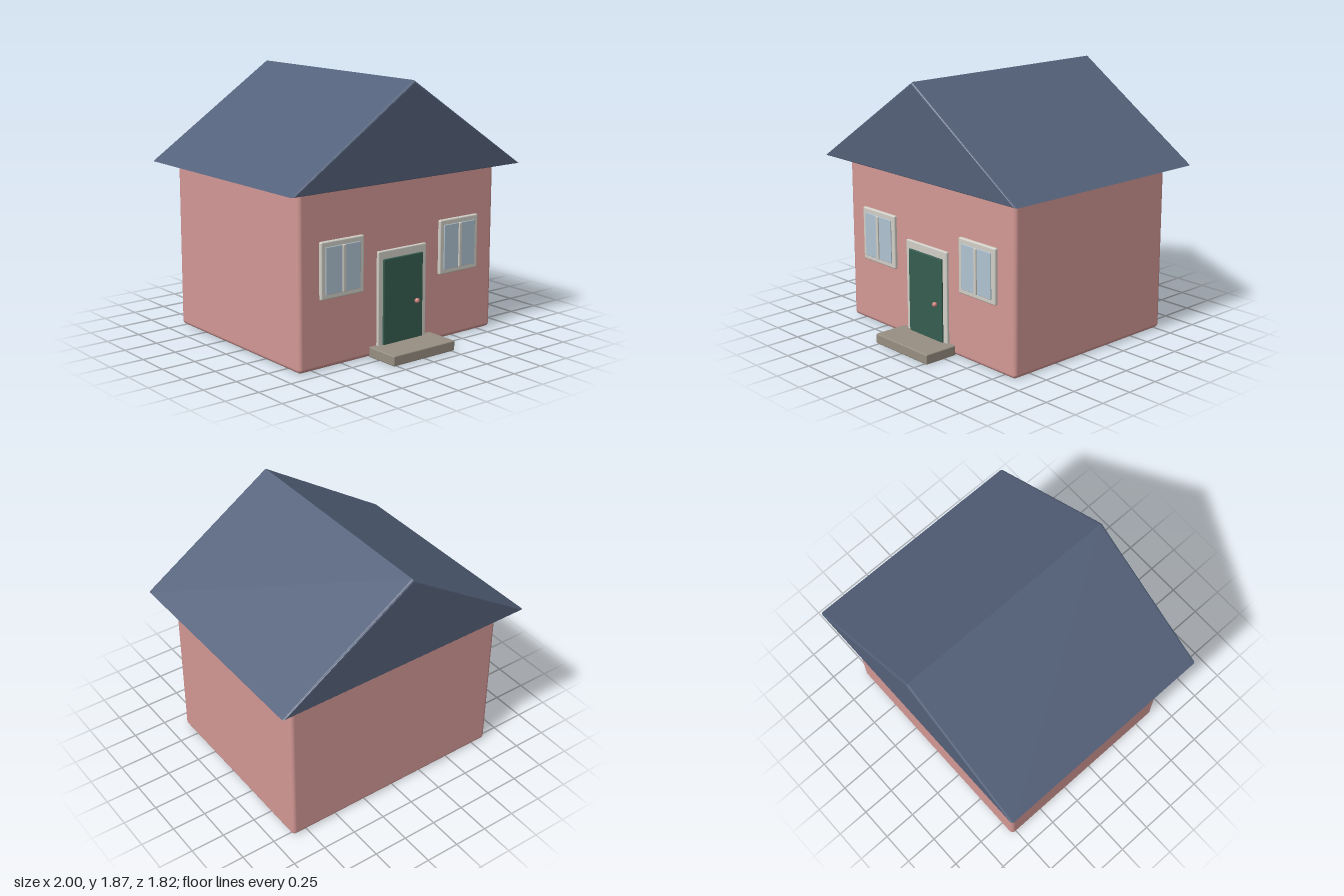
import * as THREE from 'three';
import { RoundedBoxGeometry } from 'three/addons/geometries/RoundedBoxGeometry.js';

const material = (name, color) => {
  const m = new THREE.MeshStandardMaterial({ color });
  m.name = name;
  return m;
};

export function createModel() {
  const pink = material('pinkWall', 0xd39895);
  const slate = material('slateRoof', 0x54617a);
  const offWhite = material('offWhiteTrim', 0xd1cfc6);
  const glass = material('paleGlass', 0xb0c3d1);
  const green = material('greenDoor', 0x355d50);
  const stone = material('stoneStep', 0x988f82);
  const rose = material('roseKnob', 0xc97f7b);

  const house = new THREE.Group();
  house.name = 'house';

  const add = (parent, name, geometry, mat) => {
    const mesh = new THREE.Mesh(geometry, mat);
    mesh.name = name;
    parent.add(mesh);
    return mesh;
  };

  // Softened box given by its lower and upper limits on each axis
  const block = (parent, name, mat, [x0, x1], [y0, y1], [z0, z1], radius, segments = 2) => {
    const geometry = new RoundedBoxGeometry(x1 - x0, y1 - y0, z1 - z0, segments, radius);
    geometry.translate((x0 + x1) / 2, (y0 + y1) / 2, (z0 + z1) / 2);
    return add(parent, name, geometry, mat);
  };

  // Walls
  block(house, 'walls', pink, [-0.865, 0.865], [0, 1.22], [-0.79, 0.657], 0.03, 4);

  // Solid gable roof with softened gable ends
  const gable = new THREE.Shape();
  gable.moveTo(-1, 1.21);
  gable.lineTo(1, 1.21);
  gable.lineTo(0, 1.87);
  gable.closePath();
  const bevel = 0.015;
  const roof = new THREE.ExtrudeGeometry(gable, {
    depth: 1.69 - 2 * bevel,
    bevelThickness: bevel,
    bevelSize: bevel,
    bevelOffset: -bevel,
    bevelSegments: 3,
  });
  roof.translate(0, 0, -0.91 + bevel);
  add(house, 'roof', roof, slate);

  // Door, surround, knob and step
  const entrance = new THREE.Group();
  entrance.name = 'entrance';
  house.add(entrance);
  block(entrance, 'doorFrame', offWhite, [-0.215, 0.215], [0.03, 0.727], [0.63, 0.676], 0.008);
  block(entrance, 'door', green, [-0.175, 0.175], [0.03, 0.67], [0.64, 0.688], 0.006);
  const knob = add(entrance, 'doorKnob', new THREE.SphereGeometry(0.018, 20, 14), rose);
  knob.position.set(0.114, 0.337, 0.7);
  block(entrance, 'doorStep', stone, [-0.275, 0.275], [0, 0.072], [0.65, 0.912], 0.008);

  // Two matching front windows
  for (const [side, x] of [['left', 0.52], ['right', -0.52]]) {
    const win = new THREE.Group();
    win.name = side + 'Window';
    win.position.x = x;
    house.add(win);
    block(win, 'windowFrame', offWhite, [-0.18, 0.18], [0.475, 0.865], [0.63, 0.679], 0.01);
    block(win, 'windowPane', glass, [-0.145, 0.145], [0.51, 0.828], [0.65, 0.686], 0.003);
    block(win, 'windowMullion', offWhite, [-0.012, 0.012], [0.51, 0.828], [0.66, 0.697], 0.004);
  }

  return house;
}
